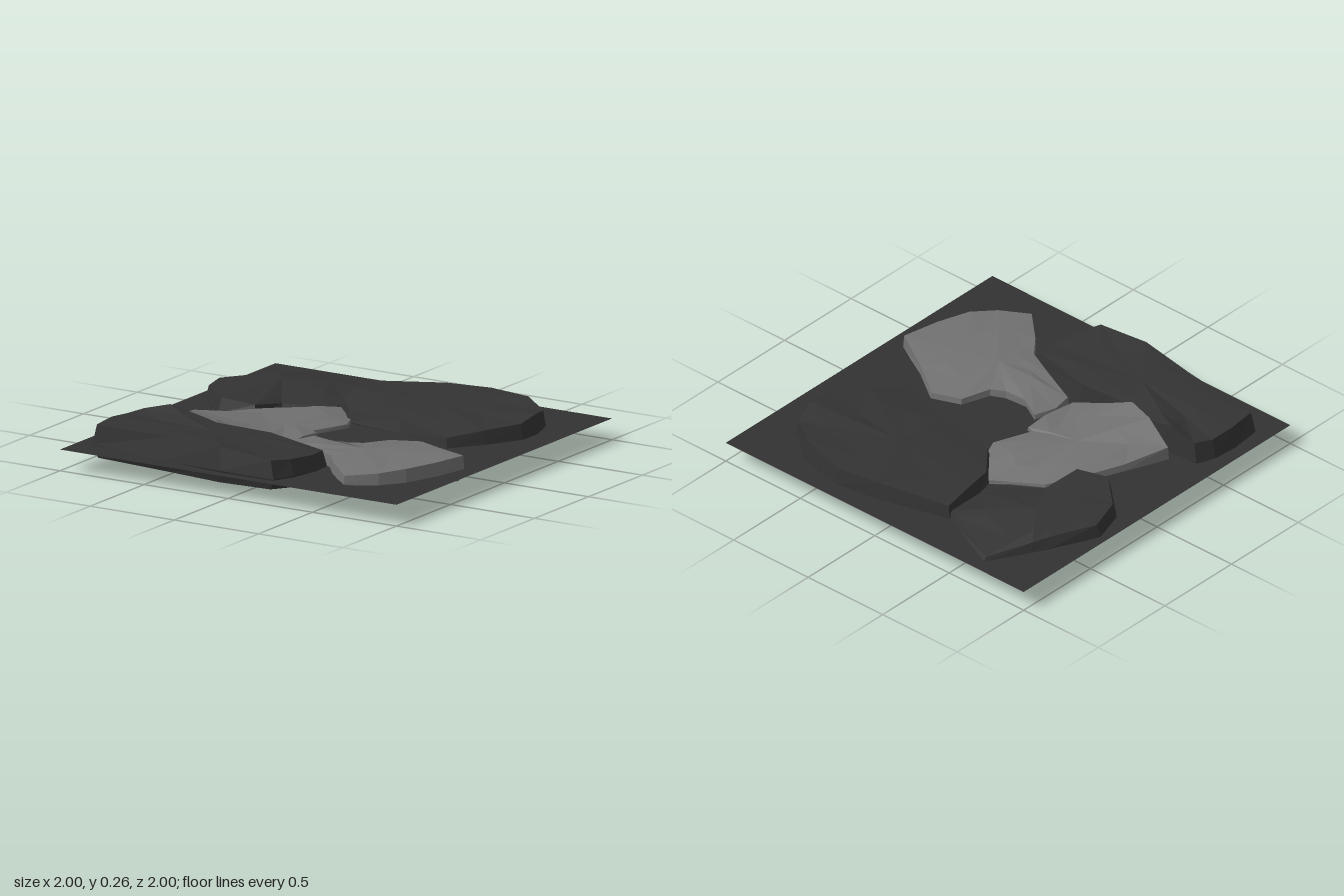
import * as THREE from 'three';

// Seeded jitter in the range -1..1
function makeRandom(seed) {
  let s = seed;
  return () => {
    s = (s * 16807) % 2147483647;
    return (s / 2147483647) * 2 - 1;
  };
}

// Outlines as [x, z, height of top edge, optional height of foot], clockwise from above
const backLeft = [
  [-0.67, -0.93, 0.13], [-0.34, -0.78, 0.15], [-0.27, -0.75, 0.15], [-0.24, -0.5, 0.12],
  [-0.3, -0.38, 0.12], [-0.48, -0.25, 0.14], [-0.52, -0.05, 0.17], [-0.71, -0.02, 0.19],
  [-0.9, -0.19, 0.19], [-0.96, -0.38, 0.18], [-0.85, -0.61, 0.17], [-0.8, -0.71, 0.16, 0],
];
const backRight = [
  [-0.29, -0.76, 0.18], [0.1, -0.87, 0.2], [0.35, -0.91, 0.2], [0.63, -0.83, 0.21],
  [0.8, -0.7, 0.19], [0.85, -0.55, 0.21], [0.85, -0.41, 0.19], [0.74, -0.22, 0.18],
  [0.62, -0.06, 0.16, 0.03], [0.27, -0.17, 0.18], [-0.08, -0.22, 0.17], [-0.23, -0.4, 0.18],
  [-0.26, -0.55, 0.19],
];
const frontLong = [
  [-0.88, 0.43, 0.22], [-0.73, 0.42, 0.26], [-0.63, 0.41, 0.24], [-0.4, 0.46, 0.22],
  [-0.07, 0.45, 0.21], [0.3, 0.55, 0.19], [0.31, 0.66, 0.19], [0.28, 0.83, 0.2],
  [0.23, 0.94, 0.21], [-0.08, 0.95, 0.24], [-0.45, 0.9, 0.23], [-0.91, 0.84, 0.22],
  [-0.93, 0.67, 0.22], [-0.92, 0.53, 0.21],
];
const middleLeft = [
  [-0.22, -0.4, 0.13], [-0.09, -0.31, 0.13], [-0.01, -0.13, 0.13], [-0.09, 0.08, 0.13],
  [-0.05, 0.09, 0.13, 0.03], [-0.05, 0.22, 0.14], [-0.06, 0.42, 0.12], [-0.26, 0.45, 0.19],
  [-0.4, 0.49, 0.24], [-0.57, 0.43, 0.25], [-0.75, 0.37, 0.18], [-0.66, 0.14, 0.15],
  [-0.55, -0.1, 0.14], [-0.46, -0.24, 0.13], [-0.31, -0.34, 0.13],
];
const frontRight = [
  [-0.02, 0.18, 0.14], [0.09, 0.24, 0.15], [0.22, 0.23, 0.15], [0.29, 0.19, 0.15],
  [0.35, 0.04, 0.14], [0.5, -0.02, 0.14], [0.68, 0.1, 0.16], [0.91, 0.23, 0.18],
  [0.87, 0.43, 0.18], [0.81, 0.61, 0.18], [0.72, 0.73, 0.17], [0.58, 0.83, 0.16],
  [0.41, 0.67, 0.17], [0.32, 0.56, 0.17], [0.14, 0.48, 0.16], [-0.05, 0.4, 0.15],
  [-0.06, 0.3, 0.14],
];

// Lofts a stone, open below, through rings: foot, belly, top edge, inner top
function stone(name, outline, [cx, cz, cy], bevel, material, seed) {
  const random = makeRandom(seed);
  const n = outline.length;
  const rings = [[], [], [], []];
  for (const [x, z, top, foot] of outline) {
    const r = Math.hypot(x - cx, z - cz);
    const at = (k, y) => [cx + (x - cx) * k, y, cz + (z - cz) * k];
    rings[0].push(at(1 - 0.03 / r, foot ?? 0.055 + random() * 0.01));
    rings[1].push(at(1, 0.11 + random() * 0.01));
    rings[2].push(at(1 - bevel / r, top));
    rings[3].push(at(0.6 + random() * 0.08, top * 0.5 + cy * 0.5 + random() * 0.006));
  }
  const points = [...rings.flat(), [cx, cy, cz]];
  const faces = [];
  for (let i = 0; i < n; i++) {
    const j = (i + 1) % n;
    for (let k = 0; k < 3; k++) {
      const a = k * n + i, b = k * n + j;
      faces.push(a, a + n, b, b, a + n, b + n);
    }
    faces.push(4 * n, 3 * n + j, 3 * n + i);   // crown
  }
  const indexed = new THREE.BufferGeometry();
  indexed.setAttribute('position', new THREE.Float32BufferAttribute(points.flat(), 3));
  indexed.setIndex(faces);
  const geometry = indexed.toNonIndexed();
  geometry.computeVertexNormals();
  const mesh = new THREE.Mesh(geometry, material);
  mesh.name = name;
  return mesh;
}

function flatMaterial(name, color) {
  const material = new THREE.MeshStandardMaterial({ color, flatShading: true, side: THREE.DoubleSide });
  material.name = name;
  return material;
}

export function createModel() {
  const group = new THREE.Group();
  group.name = 'stonePath';

  const ground = flatMaterial('groundGrey', 0x323232);
  const dark = flatMaterial('darkStone', 0x333333);
  const light = flatMaterial('lightStone', 0x717171);

  // Flat ground sheet cutting through the stones
  const sheet = new THREE.Mesh(new THREE.PlaneGeometry(2, 2).rotateX(-Math.PI / 2), ground);
  sheet.name = 'ground';
  sheet.position.y = 0.11;
  group.add(sheet);

  group.add(
    stone('backLeftStone', backLeft, [-0.64, -0.5, 0.2], 0.02, dark, 11),
    stone('backRightStone', backRight, [0.28, -0.5, 0.2], 0.015, dark, 23),
    stone('frontLongStone', frontLong, [-0.3, 0.67, 0.23], 0.025, dark, 37),
    stone('middleLeftStone', middleLeft, [-0.38, 0.1, 0.19], 0.005, light, 41),
    stone('frontRightStone', frontRight, [0.4, 0.38, 0.18], 0.006, light, 53),
  );
  return group;
}
